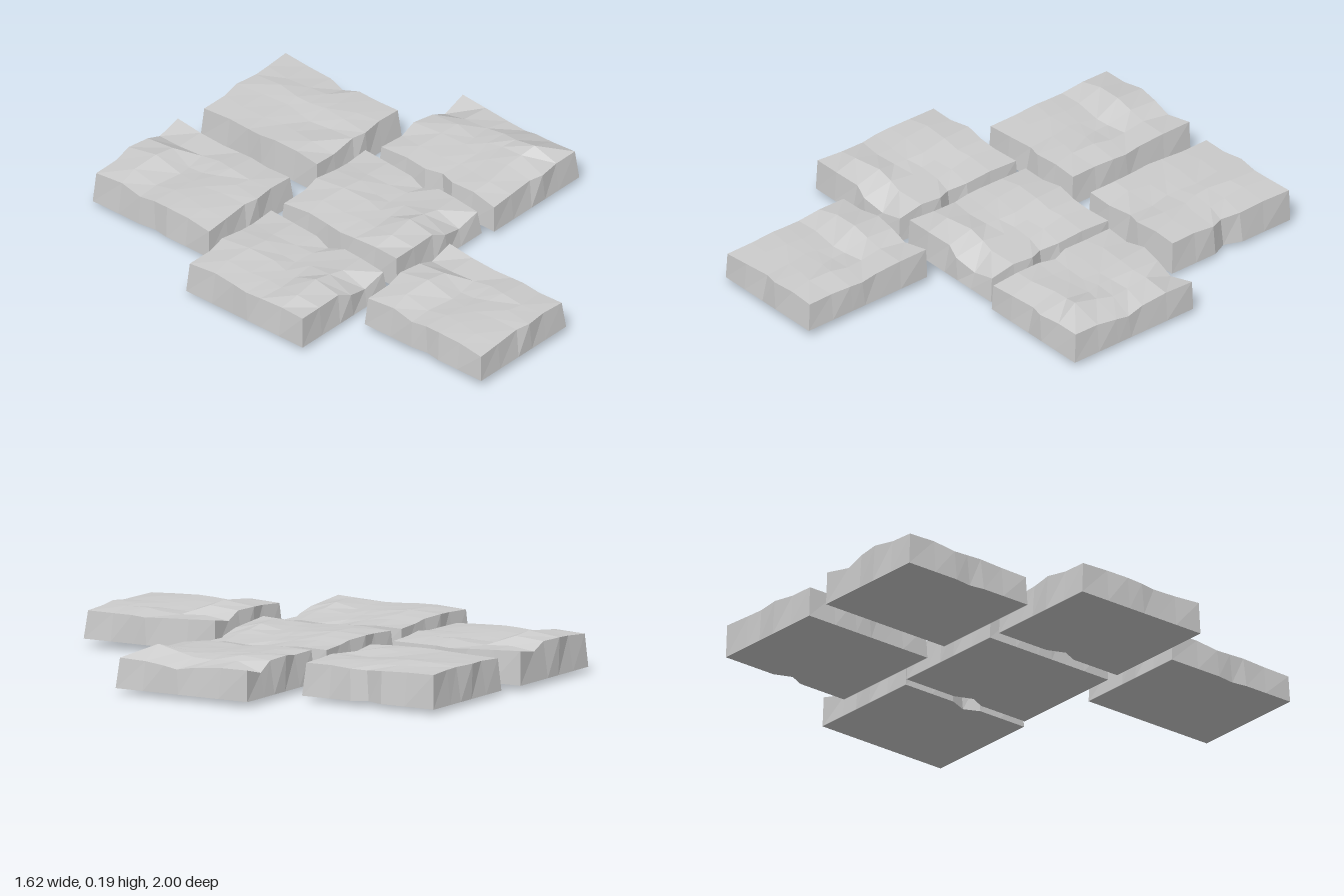
import * as THREE from 'three';

// shared grid lines of a slab
const COLS = [-0.255, -0.14, -0.03, 0.05, 0.13, 0.255];
const ROWS = [-0.305, -0.17, -0.06, 0.015, 0.08, 0.18, 0.305];
const NX = COLS.length, NZ = ROWS.length;

// top heights in thousandths, rows run back to front
const ridged = [
  [152, 158, 165, 160, 152, 150],
  [160, 168, 172, 166, 158, 150],
  [156, 160, 160, 152, 148, 142],
  [150, 154, 152, 146, 142, 130],
  [148, 152, 150, 148, 144, 138],
  [152, 168, 172, 158, 150, 140],
  [155, 150, 145, 122, 95, 122],
];
const cornered = [
  [155, 152, 165, 158, 120, 148],
  [158, 162, 166, 168, 155, 145],
  [154, 158, 160, 158, 152, 135],
  [148, 152, 156, 160, 156, 122],
  [148, 152, 158, 162, 168, 132],
  [150, 156, 164, 172, 190, 140],
  [132, 136, 138, 140, 141, 144],
];
const stepped = [
  [155, 164, 172, 170, 140, 160],
  [162, 176, 189, 180, 150, 152],
  [146, 148, 145, 142, 146, 146],
  [152, 154, 150, 144, 152, 142],
  [154, 156, 154, 150, 158, 146],
  [150, 154, 154, 156, 154, 144],
  [142, 146, 150, 154, 150, 145],
];
const smooth = [
  [150, 156, 160, 160, 160, 158],
  [154, 158, 162, 168, 160, 155],
  [156, 158, 160, 166, 158, 150],
  [158, 154, 156, 162, 156, 142],
  [160, 156, 150, 158, 156, 148],
  [158, 160, 146, 156, 158, 152],
  [150, 140, 152, 155, 155, 152],
];

// notch: side of the worn nick (+1 or -1), depth: how far it cuts in
function slabGeometry(heights, notch, depth, base) {
  const pos = [];
  const tri = (a, b, c) => pos.push(...a, ...b, ...c);
  const quad = (a, b, c, d) => { tri(a, b, c); tri(a, c, d); };

  const nick = (i, j) => (j === 3 && i === (notch > 0 ? NX - 1 : 0) ? -notch * depth : 0);
  const top = (i, j) => {
    const edgeX = i === 0 ? 1 : i === NX - 1 ? -1 : 0;
    const edgeZ = j === 0 ? 1 : j === NZ - 1 ? -1 : 0;
    const wobble = Math.sin(i * 2.3 + j * 1.7);
    return [
      COLS[i] + nick(i, j) + edgeX * (0.009 + 0.006 * wobble) + (edgeX ? 0 : 0.012 * wobble),
      heights[j][i] / 1000,
      ROWS[j] + edgeZ * (0.011 + 0.009 * wobble) + (edgeZ ? 0 : 0.01 * Math.cos(i * 1.9 + j)),
    ];
  };
  const low = (i, j) => [COLS[i] + nick(i, j), base, ROWS[j]];

  // uneven upper surface
  for (let j = 0; j < NZ - 1; j++)
    for (let i = 0; i < NX - 1; i++)
      quad(top(i, j), top(i, j + 1), top(i + 1, j + 1), top(i + 1, j));

  // rim, counter-clockwise seen from above
  const rim = [];
  for (let i = 0; i < NX - 1; i++) rim.push([i, NZ - 1]);
  for (let j = NZ - 1; j > 0; j--) rim.push([NX - 1, j]);
  for (let i = NX - 1; i > 0; i--) rim.push([i, 0]);
  for (let j = 0; j < NZ - 1; j++) rim.push([0, j]);

  // side walls and slightly sagging underside
  const apex = [-0.14 * notch, base - 0.02, 0];
  rim.forEach((p, k) => {
    const q = rim[(k + 1) % rim.length];
    quad(low(...p), low(...q), top(...q), top(...p));
    tri(apex, low(...q), low(...p));
  });

  const geometry = new THREE.BufferGeometry();
  geometry.setAttribute('position', new THREE.Float32BufferAttribute(pos, 3));
  geometry.computeVertexNormals();
  return geometry;
}

export function createModel() {
  const group = new THREE.Group();
  group.name = 'pavingStones';
  const material = new THREE.MeshStandardMaterial({ color: 0xcccccc, flatShading: true });

  const slabs = [
    ['middleRightSlab', ridged, 1, 0.03, -0.56, 0, 0.022],
    ['centreSlab', ridged, 1, 0.03, 0.005, 0, 0.022],
    ['middleLeftSlab', cornered, -1, 0.03, 0.555, 0.03, 0.022],
    ['backLeftSlab', smooth, 1, 0.03, 0.305, -0.68, 0.02],
    ['backRightSlab', stepped, -1, 0.01, -0.325, -0.695, 0.022],
    ['frontSlab', stepped, -1, 0.01, -0.285, 0.695, 0.032],
  ];
  for (const [name, heights, notch, depth, x, z, base] of slabs) {
    const slab = new THREE.Mesh(slabGeometry(heights, notch, depth, base), material);
    slab.name = name;
    slab.position.set(x, 0, z);
    group.add(slab);
  }
  return group;
}
